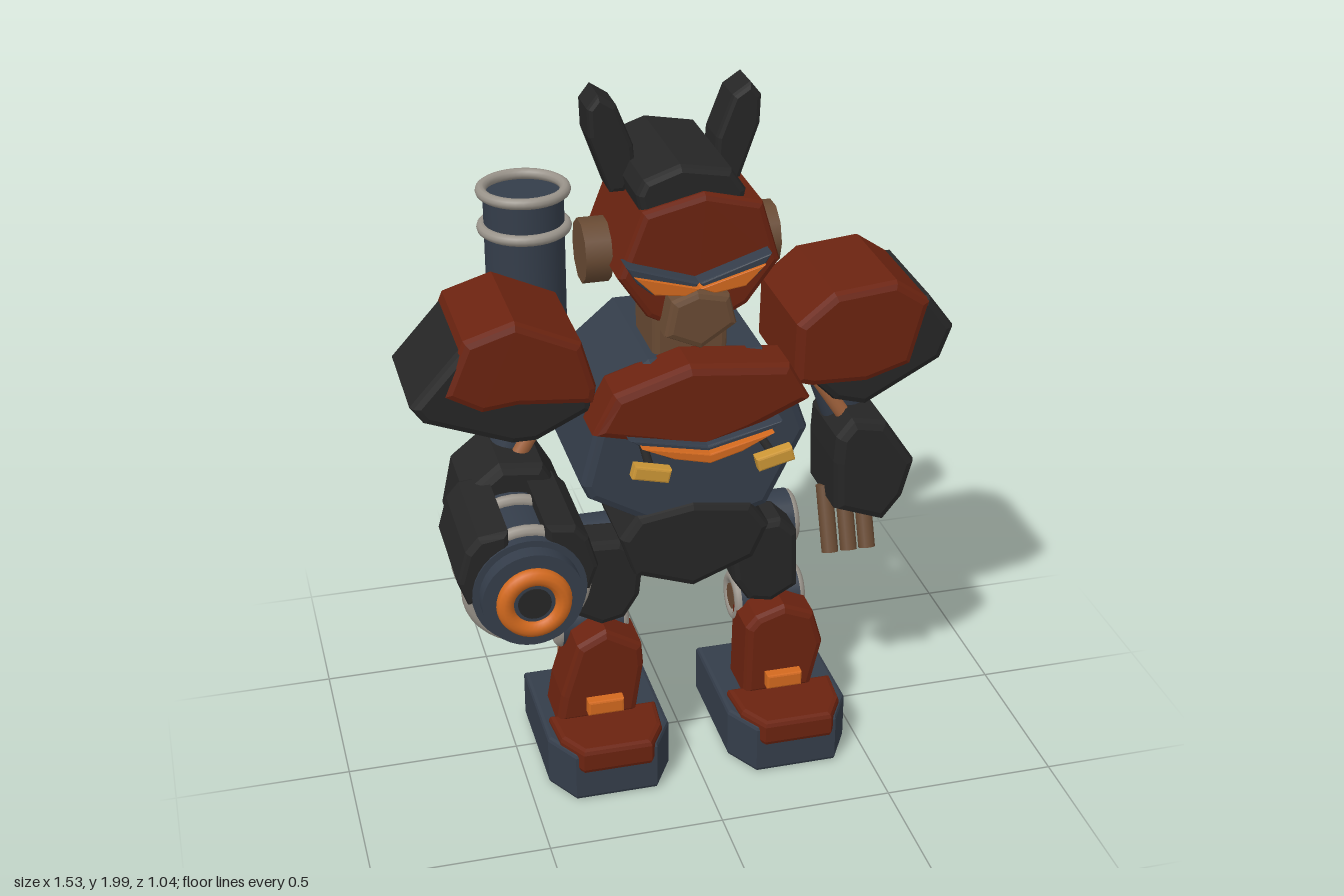
import * as THREE from 'three';

const paint = (name, color) => {
  const m = new THREE.MeshStandardMaterial({ color });
  m.name = name;
  return m;
};

export function createModel() {
  const red = paint('rust red', 0x6b2310), black = paint('charcoal', 0x262626);
  const slate = paint('slate blue', 0x343d4a), brown = paint('brown', 0x684a33);
  const steel = paint('warm grey', 0x99938a), orange = paint('orange', 0xd2691e);
  const gold = paint('amber', 0xcc9636), copper = paint('copper', 0xa0623c);
  const root = new THREE.Group();
  root.name = 'robot';

  const add = (name, geo, mat, parent = root) => {
    const m = new THREE.Mesh(geo, mat);
    m.name = name;
    parent.add(m);
    return m;
  };
  // bevelled armour block: outline in x/y, running from z0 to z1
  const block = (name, pts, z0, z1, mat, b = 0.018) => {
    const shape = new THREE.Shape(pts.map(p => new THREE.Vector2(p[0], p[1])));
    const geo = new THREE.ExtrudeGeometry(shape, {
      depth: z1 - z0 - 2 * b, bevelEnabled: true, bevelThickness: b,
      bevelSize: b, bevelOffset: -b, bevelSegments: 2,
    });
    geo.translate(0, 0, z0 + b);
    return add(name, geo, mat);
  };
  // slab: outline in x/z (plan), running from y0 to y1
  const slab = (name, pts, y0, y1, mat, b = 0.015) => {
    const m = block(name, pts.map(([x, z]) => [x, -z]).reverse(), y0, y1, mat, b);
    m.geometry.rotateX(-Math.PI / 2);
    return m;
  };
  // cylinder between two points
  const rod = (name, a, b, r, mat, sides = 20) => {
    const p = new THREE.Vector3(...a), q = new THREE.Vector3(...b), d = q.clone().sub(p);
    const m = add(name, new THREE.CylinderGeometry(r, r, d.length(), sides), mat);
    m.position.copy(p).add(q).multiplyScalar(0.5);
    m.quaternion.setFromUnitVectors(new THREE.Vector3(0, 1, 0), d.normalize());
    return m;
  };
  const hoop = (name, pos, r, tube, mat, axis) => {
    const m = add(name, new THREE.TorusGeometry(r, tube, 10, 36), mat);
    m.position.set(...pos);
    if (axis === 'y') m.rotation.x = Math.PI / 2;
    if (axis === 'x') m.rotation.y = Math.PI / 2;
    return m;
  };
  const flip = (pts, s, c = 0) => s > 0 ? pts.map(([x, y]) => [c + x, y])
    : pts.map(([x, y]) => [c - x, y]).reverse();

  // head
  block('head', [[-0.13, 1.73], [0.04, 1.77], [0.2, 1.73], [0.25, 1.56], [0.16, 1.44], [0.01, 1.36],
    [-0.12, 1.43], [-0.2, 1.55]], -0.27, 0.14, red);
  block('crown', [[-0.14, 1.77], [-0.12, 1.81], [-0.02, 1.845], [0.12, 1.82], [0.16, 1.76], [0.13, 1.62],
    [0.01, 1.565], [-0.11, 1.62]], -0.31, 0.115, black);
  block('muzzle', [[-0.07, 1.5], [0.0, 1.525], [0.09, 1.505], [0.11, 1.42], [0.01, 1.355], [-0.09, 1.4]],
    0.1, 0.215, brown);
  block('neck', [[-0.1, 1.27], [-0.1, 1.45], [0.11, 1.45], [0.11, 1.27]], -0.1, 0.12, brown);
  for (const s of [1, -1]) {
    block('ear', flip([[0.24, 1.96], [0.21, 1.998], [0.16, 1.965], [0.115, 1.85], [0.11, 1.78], [0.14, 1.72],
      [0.18, 1.72], [0.237, 1.88]], s, 0.007), -0.178, -0.05, black, 0.014);
    rod('earDisc', [0.01 + s * 0.2, 1.565, -0.05], [0.01 + s * 0.273, 1.565, -0.05], 0.09, brown, 10);
    block('eyeFrame', flip([[0.2, 1.605], [0.0, 1.54], [0.03, 1.505], [0.13, 1.52], [0.17, 1.555]], s, 0.01),
      0.12, 0.19, slate, 0.006);
    block('eye', flip([[0.18, 1.578], [0.0, 1.528], [0.04, 1.51], [0.125, 1.522]], s, 0.01),
      0.12, 0.2, orange, 0.004);
  }

  // torso
  block('torso', [[-0.315, 0.95], [-0.25, 1.2], [-0.12, 1.31], [0.2, 1.31], [0.3, 1.15], [0.335, 1.05],
    [0.22, 0.82], [0.02, 0.765], [-0.13, 0.81], [-0.295, 0.905]], -0.303, 0.165, slate, 0.025);
  block('chestPlate', [[-0.3, 1.15], [-0.24, 1.265], [-0.03, 1.33], [0.25, 1.3], [0.31, 1.19], [0.14, 1.115],
    [0.0, 1.07], [-0.14, 1.11]], 0.1, 0.26, red, 0.025);
  block('chestVentFrame', [[-0.21, 1.145], [0.01, 1.1], [0.22, 1.15], [0.12, 1.075], [0.01, 1.05], [-0.1, 1.075]],
    0.2, 0.285, slate, 0.006);
  block('chestVent', [[-0.18, 1.128], [0.01, 1.088], [0.19, 1.13], [0.1, 1.085], [0.01, 1.06], [-0.09, 1.085]],
    0.2, 0.31, orange, 0.004);
  block('pelvis', [[-0.21, 0.77], [-0.16, 0.84], [0.0, 0.865], [0.17, 0.84], [0.225, 0.76], [0.18, 0.66],
    [0.0, 0.59], [-0.17, 0.65]], -0.2, 0.178, black, 0.022);
  for (const s of [1, -1]) {
    const lamp = block('chestLamp', [[-0.052, -0.02], [-0.052, 0.02], [0.052, 0.02], [0.052, -0.02]],
      0.322, 0.362, gold, 0.006);
    lamp.position.set(0.007 + s * 0.172, 1.075, 0);
    lamp.rotation.z = s * 0.24;
    rod('lampStem', [0.007 + s * 0.16, 1.09, 0.2], [0.007 + s * 0.17, 1.08, 0.325], 0.012, black, 10);
  }

  // shoulder armour
  block('rightShoulderLower', [[-0.77, 1.235], [-0.63, 1.39], [-0.45, 1.37], [-0.28, 1.25], [-0.275, 1.17],
    [-0.43, 1.095], [-0.5, 1.095], [-0.735, 1.185]], -0.232, 0.138, black, 0.022);
  block('rightShoulderUpper', [[-0.685, 1.26], [-0.62, 1.415], [-0.48, 1.458], [-0.3, 1.375], [-0.262, 1.24],
    [-0.27, 1.19], [-0.48, 1.21], [-0.58, 1.2]], -0.237, 0.144, red, 0.022);
  block('leftShoulderLower', [[0.765, 1.3], [0.69, 1.4], [0.5, 1.36], [0.33, 1.2], [0.42, 1.11], [0.51, 1.085],
    [0.73, 1.205]], -0.232, 0.138, black, 0.022);
  block('leftShoulderUpper', [[0.3, 1.18], [0.305, 1.355], [0.41, 1.44], [0.59, 1.458], [0.69, 1.39],
    [0.64, 1.2], [0.51, 1.16], [0.35, 1.165]], -0.237, 0.144, red, 0.022);

  // arms
  for (const s of [1, -1]) {
    rod('upperArm', [s * 0.4, 1.25, 0], [s * 0.51, 0.95, 0], 0.06, slate);
    rod('armPiston', [s * 0.36, 1.2, 0.05], [s * 0.49, 1.0, 0.07], 0.022, copper, 12);
  }
  block('leftForearm', [[0.42, 0.92], [0.425, 1.0], [0.47, 1.055], [0.57, 1.035], [0.66, 0.9], [0.63, 0.79],
    [0.57, 0.715], [0.425, 0.77]], -0.1, 0.165, black, 0.025);
  for (const x of [0.43, 0.487, 0.543]) rod('finger', [x, 0.79, 0.035], [x, 0.605, 0.11], 0.025, brown, 12);
  block('rightForearm', [[-0.67, 0.83], [-0.64, 0.97], [-0.54, 1.05], [-0.42, 1.035], [-0.355, 0.92],
    [-0.39, 0.73], [-0.55, 0.7]], -0.1, 0.168, black, 0.025);

  // arm cannon
  const cx = -0.52, cy = 0.815;
  rod('cannonBarrel', [cx, cy, 0.1], [cx, cy, 0.44], 0.155, slate, 36);
  rod('cannonNeck', [cx, cy, 0.43], [cx, cy, 0.485], 0.137, slate, 36);
  hoop('muzzleRing', [cx, cy, 0.495], 0.078, 0.024, orange, 'z');
  rod('muzzleCore', [cx, cy, 0.48], [cx, cy, 0.5], 0.06, slate, 28);
  rod('muzzleBore', [cx, cy, 0.48], [cx, cy, 0.503], 0.045, black, 28);
  for (const z of [0.225, 0.395]) hoop('cannonBand', [cx, cy, z], 0.16, 0.018, steel, 'z');
  for (const s of [1, -1]) {
    block('cannonShroud', flip([[0.05, 1.0], [0.13, 0.99], [0.165, 0.95], [0.19, 0.86], [0.165, 0.79],
      [0.13, 0.8], [0.05, 0.92]], s, cx), 0.1, 0.435, black, 0.015);
  }

  // back canister
  const bx = -0.35, bz = -0.388;
  rod('canister', [bx, 1.1, bz], [bx, 1.61, bz], 0.115, slate, 40);
  for (const y of [1.105, 1.515, 1.625]) hoop('canisterBand', [bx, y, bz], 0.12, 0.016, steel, 'y');
  rod('canisterBracket', [-0.33, 1.25, -0.34], [-0.4, 1.28, -0.2], 0.04, red, 12);

  // legs
  const shins = {
    '-1': [[-0.4, 0.17], [-0.385, 0.26], [-0.335, 0.42], [-0.25, 0.463], [-0.145, 0.4], [-0.14, 0.33], [-0.165, 0.17]],
    '1': [[0.165, 0.17], [0.17, 0.4], [0.2, 0.435], [0.285, 0.463], [0.375, 0.425], [0.405, 0.32], [0.37, 0.17]],
  };
  for (const s of [1, -1]) {
    const x = s * 0.27 + 0.005;
    block('thighArmour', flip([[0.075, 0.08], [0.025, 0.13], [-0.06, 0.125], [-0.13, 0.08], [-0.115, -0.06],
      [-0.07, -0.13], [0.0, -0.145], [0.08, -0.1]].map(([a, b]) => [a, b + 0.605]), s, s * 0.255),
      -0.02, 0.113, black, 0.02);
    block('shinArmour', shins[s], -0.02, 0.153, red, 0.02);

    // hip and knee joints with a linking strut
    for (const [part, y, z, r, h] of [['hipJoint', 0.625, -0.09, 0.085, 0.085], ['kneeJoint', 0.41, -0.03, 0.08, 0.09]]) {
      rod(part, [x - h, y, z], [x + h, y, z], r, slate, 28);
      for (const e of [1, -1]) {
        hoop(part + 'Ring', [x + e * h, y, z], r - 0.02, 0.019, steel, 'x');
        rod(part + 'Hub', [x + e * h, y, z], [x + e * (h + 0.015), y, z], 0.04, brown, 10);
      }
    }
    rod('thighStrut', [x, 0.63, -0.09], [x, 0.41, -0.03], 0.065, slate);
    rod('hipAxle', [s * 0.1, 0.66, -0.08], [x, 0.625, -0.09], 0.05, slate);
    rod('ankleStrut', [x, 0.41, -0.03], [x, 0.14, 0.02], 0.05, slate);
    rod('outerPiston', [x + s * 0.05, 0.13, -0.105], [x + s * 0.05, 0.4, -0.135], 0.027, copper, 14);
    rod('innerPiston', [x - s * 0.05, 0.13, 0.0], [x - s * 0.05, 0.39, -0.04], 0.027, copper, 14);

    // foot
    const fx = s * 0.27 + 0.009;
    slab('foot', flip([[-0.18, -0.155], [0.18, -0.155], [0.18, 0.2], [0.12, 0.305], [-0.12, 0.305], [-0.18, 0.2]], 1, fx),
      0.005, 0.162, slate, 0.012);
    slab('toeCap', flip([[-0.16, 0.12], [0.16, 0.12], [0.15, 0.24], [0.1, 0.325], [-0.1, 0.325], [-0.15, 0.24]], 1, fx),
      0.105, 0.185, red);
    block('shinLamp', flip([[-0.053, 0.205], [-0.053, 0.25], [0.053, 0.25], [0.053, 0.205]], 1, s * 0.27 + 0.008),
      0.14, 0.185, orange, 0.006);
  }
  return root;
}
